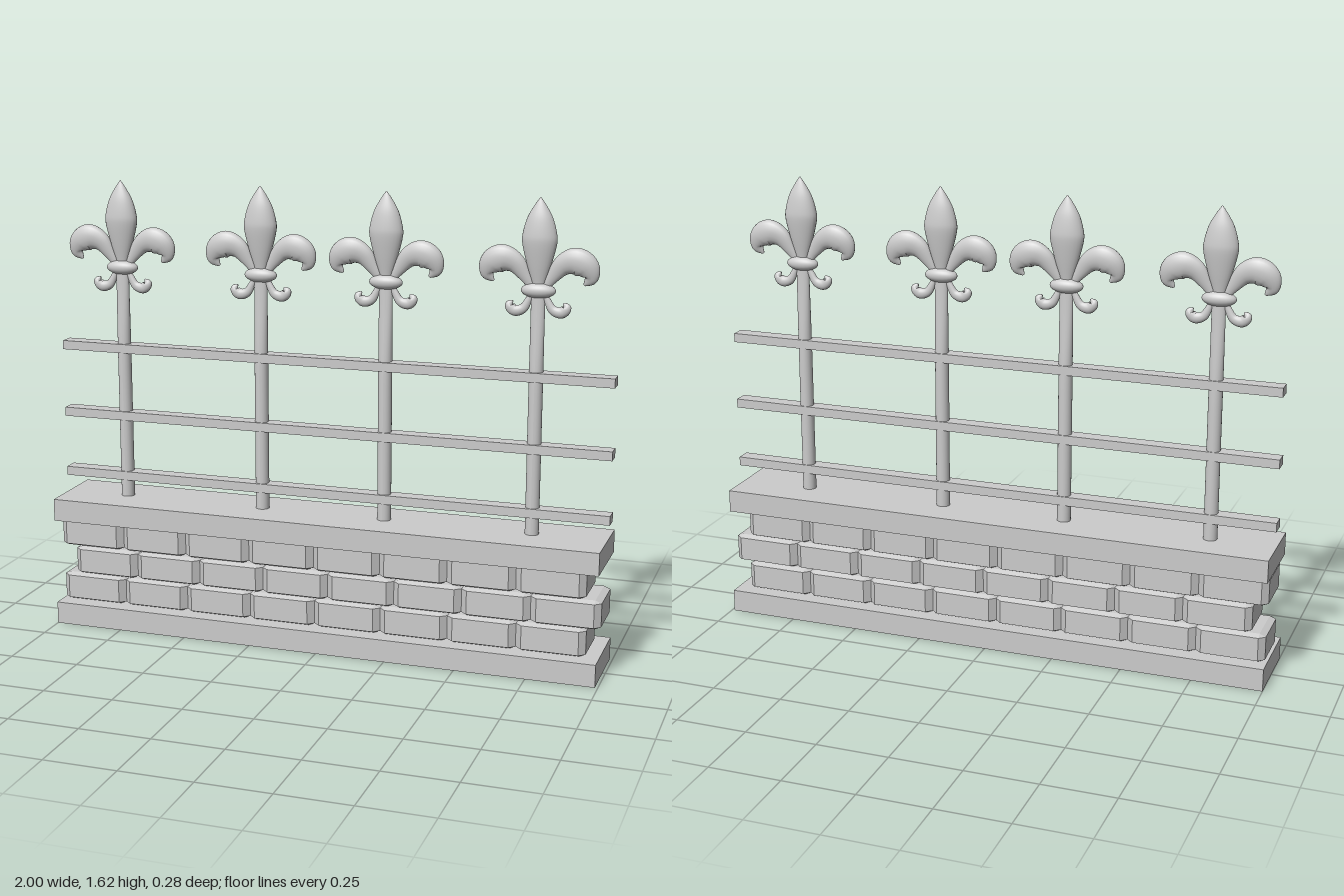
import * as THREE from 'three';
import { ConvexGeometry } from 'three/addons/geometries/ConvexGeometry.js';
import { ParametricGeometry } from 'three/addons/geometries/ParametricGeometry.js';

const grey = new THREE.MeshStandardMaterial({ color: 0xcccccc, side: THREE.DoubleSide });
const stone = new THREE.MeshStandardMaterial({ color: 0xcccccc, flatShading: true });

function add(parent, name, geometry, material, x = 0, y = 0, z = 0) {
  const mesh = new THREE.Mesh(geometry, material);
  mesh.name = name;
  mesh.position.set(x, y, z);
  parent.add(mesh);
  return mesh;
}

// Box with every edge cut: hx, hy, hz are half sizes, cx, cy, cz the cuts
function chamferedBox(hx, hy, hz, cx, cy, cz) {
  const points = [];
  for (const sx of [-1, 1]) for (const sy of [-1, 1]) for (const sz of [-1, 1]) {
    points.push(
      new THREE.Vector3(sx * hx, sy * (hy - cy), sz * (hz - cz)),
      new THREE.Vector3(sx * (hx - cx), sy * hy, sz * (hz - cz)),
      new THREE.Vector3(sx * (hx - cx), sy * (hy - cy), sz * hz));
  }
  return new ConvexGeometry(points);
}

// Tapered sweep in the xy plane; each path entry is [x, y, radius]
function leaf(path, depth) {
  const curve = new THREE.CatmullRomCurve3(path.map(p => new THREE.Vector3(...p)));
  return new ParametricGeometry((u, v, target) => {
    const p = curve.getPoint(u), t = curve.getTangent(u);
    const len = Math.hypot(t.x, t.y) || 1, r = Math.max(p.z, 0.001), a = v * Math.PI * 2;
    target.set(
      p.x + (t.y / len) * r * Math.cos(a),
      p.y - (t.x / len) * r * Math.cos(a),
      r * depth * Math.sin(a));
  }, 32, 18);
}

const bulb = new THREE.LatheGeometry(new THREE.SplineCurve([
  [0.014, 1.3], [0.02, 1.33], [0.042, 1.4], [0.058, 1.465], [0.057, 1.5],
  [0.043, 1.55], [0.021, 1.59], [0.001, 1.618],
].map(p => new THREE.Vector2(...p))).getPoints(28), 24);
bulb.scale(1, 1, 0.57);

const sidePetal = leaf([
  [0.014, 1.305, 0.008], [0.045, 1.355, 0.021], [0.083, 1.4, 0.036], [0.125, 1.412, 0.046],
  [0.16, 1.393, 0.042], [0.172, 1.36, 0.026], [0.152, 1.335, 0.004],
], 0.58);

const curl = leaf([
  [0.02, 1.31, 0.008], [0.033, 1.275, 0.012], [0.052, 1.246, 0.016], [0.08, 1.24, 0.019],
  [0.096, 1.257, 0.016], [0.086, 1.272, 0.003],
], 0.75);

// Post narrows front to back above the top rail
const post = new THREE.CylinderGeometry(0.024, 0.024, 0.86, 20, 12);
post.translate(0, 0.87, 0);
const pos = post.attributes.position;
for (let i = 0; i < pos.count; i++) {
  const k = THREE.MathUtils.clamp((pos.getY(i) - 1.03) / 0.23, 0, 1);
  pos.setZ(i, pos.getZ(i) * (1 - 0.5 * k));
}
post.computeVertexNormals();

function createFinial() {
  const finial = new THREE.Group();
  finial.name = 'finial';
  add(finial, 'centrePetal', bulb, grey);
  for (const side of ['left', 'right']) {
    const half = new THREE.Group();
    half.name = side + 'Petals';
    half.rotation.y = side === 'left' ? 0 : Math.PI;
    add(half, 'sidePetal', sidePetal, grey);
    add(half, 'lowerCurl', curl, grey);
    finial.add(half);
  }
  add(finial, 'collar', new THREE.SphereGeometry(1, 24, 16), grey, 0, 1.31, 0).scale.set(0.059, 0.026, 0.028);
  return finial;
}

export function createModel() {
  const model = new THREE.Group();
  model.name = 'fenceOnWall';

  // Stone slabs
  const slab = new THREE.BoxGeometry(1.99, 0.08, 0.28);
  add(model, 'baseSlab', slab, stone, -0.005, 0.04, 0);
  add(model, 'capSlab', slab, stone, -0.005, 0.432, 0);

  // Three staggered rows of eight bricks
  const pitch = 0.242;
  const brick = chamferedBox(pitch / 2, 0.051, 0.1, 0.022, 0.009, 0.02);
  [-0.992, -0.943, -0.996].forEach((start, row) => {
    for (let i = 0; i < 8; i++) {
      add(model, 'brick', brick, stone, start + pitch * (i + 0.5), 0.132 + row * 0.103, -0.002);
    }
  });

  // Horizontal rails
  for (const y of [0.55, 0.773, 1.02]) {
    add(model, 'rail', new THREE.BoxGeometry(2, 0.032, 0.054), stone, 0, y, -0.004);
  }

  // Posts with finials
  for (const x of [-0.77, -0.247, 0.205, 0.73]) {
    const stake = new THREE.Group();
    stake.name = 'stake';
    stake.position.set(x, 0, -0.005);
    add(stake, 'post', post, grey);
    stake.add(createFinial());
    model.add(stake);
  }
  return model;
}
